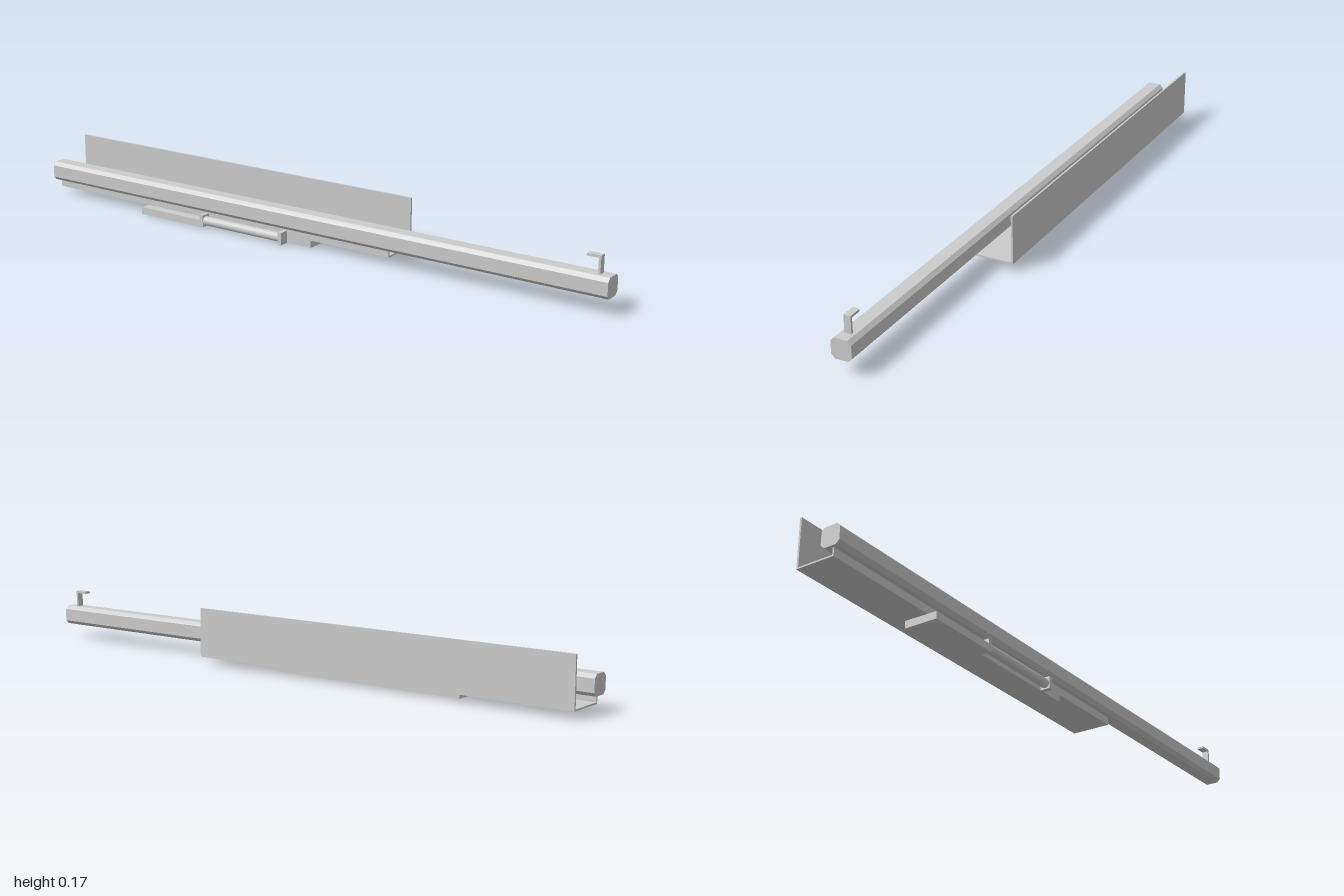
import * as THREE from 'three';

const material = new THREE.MeshStandardMaterial({ color: 0xcccccc, flatShading: true });

// Box given by its [min, max] range on each axis
function box(name, [x0, x1], [y0, y1], [z0, z1]) {
  const mesh = new THREE.Mesh(new THREE.BoxGeometry(x1 - x0, y1 - y0, z1 - z0), material);
  mesh.position.set((x0 + x1) / 2, (y0 + y1) / 2, (z0 + z1) / 2);
  mesh.name = name;
  return mesh;
}

// Cross-section given as [z, y] points, swept along x
function sweep(name, points, x0, x1) {
  const shape = new THREE.Shape(points.map(([z, y]) => new THREE.Vector2(-z, y)));
  const geometry = new THREE.ExtrudeGeometry(shape, { depth: x1 - x0, bevelEnabled: false });
  geometry.rotateY(Math.PI / 2);
  const mesh = new THREE.Mesh(geometry, material);
  mesh.position.x = x0;
  mesh.name = name;
  return mesh;
}

export function createModel() {
  const model = new THREE.Group();
  model.name = 'slideRail';

  // Long rail with chamfered edges
  const z0 = 0.011, z1 = 0.073, y0 = 0.048, y1 = 0.109, c = 0.011;
  model.add(sweep('rail', [
    [z0 + c, y0], [z1 - c, y0], [z1, y0 + c], [z1, y1 - c],
    [z1 - c, y1], [z0 + c, y1], [z0, y1 - c], [z0, y0 + c],
  ], -1, 1));

  // Folded sheet channel: short front lip, floor and tall back wall
  model.add(sweep('channel', [
    [0.048, 0.023], [0.048, 0.048], [0.043, 0.048], [0.043, 0.028],
    [-0.071, 0.028], [-0.071, 0.175], [-0.077, 0.175], [-0.077, 0.023],
  ], -0.99, 0.305));

  // Hook at the end of the rail
  const hook = new THREE.Group();
  hook.name = 'hook';
  hook.add(
    box('hookPost', [0.96, 0.967], [0.109, 0.161], [0.031, 0.052]),
    box('hookTip', [0.925, 0.96], [0.154, 0.161], [0.031, 0.052]),
  );
  model.add(hook);

  // Base plate, wider at its right end
  const outline = new THREE.Shape([
    [-0.61, 0.029], [-0.61, -0.079], [-0.367, -0.079],
    [-0.367, -0.048], [0.03, -0.048], [0.03, 0.029],
  ].map(([x, y]) => new THREE.Vector2(x, y)));
  const plateGeometry = new THREE.ExtrudeGeometry(outline, { depth: 0.023, bevelEnabled: false });
  plateGeometry.rotateX(-Math.PI / 2);
  const plate = new THREE.Mesh(plateGeometry, material);
  plate.name = 'basePlate';
  model.add(plate);

  // Cylinder held between two end tabs
  model.add(
    box('rightTab', [-0.372, -0.36], [0.001, 0.039], [0.048, 0.0785]),
    box('leftTab', [-0.07, -0.057], [0, 0.039], [0.048, 0.079]),
  );
  const roller = new THREE.Mesh(
    new THREE.CylinderGeometry(0.0145, 0.0145, 0.29, 24),
    new THREE.MeshStandardMaterial({ color: 0xcccccc }),
  );
  roller.rotation.z = Math.PI / 2;
  roller.position.set(-0.215, 0.019, 0.063);
  roller.name = 'roller';
  model.add(roller);

  return model;
}
